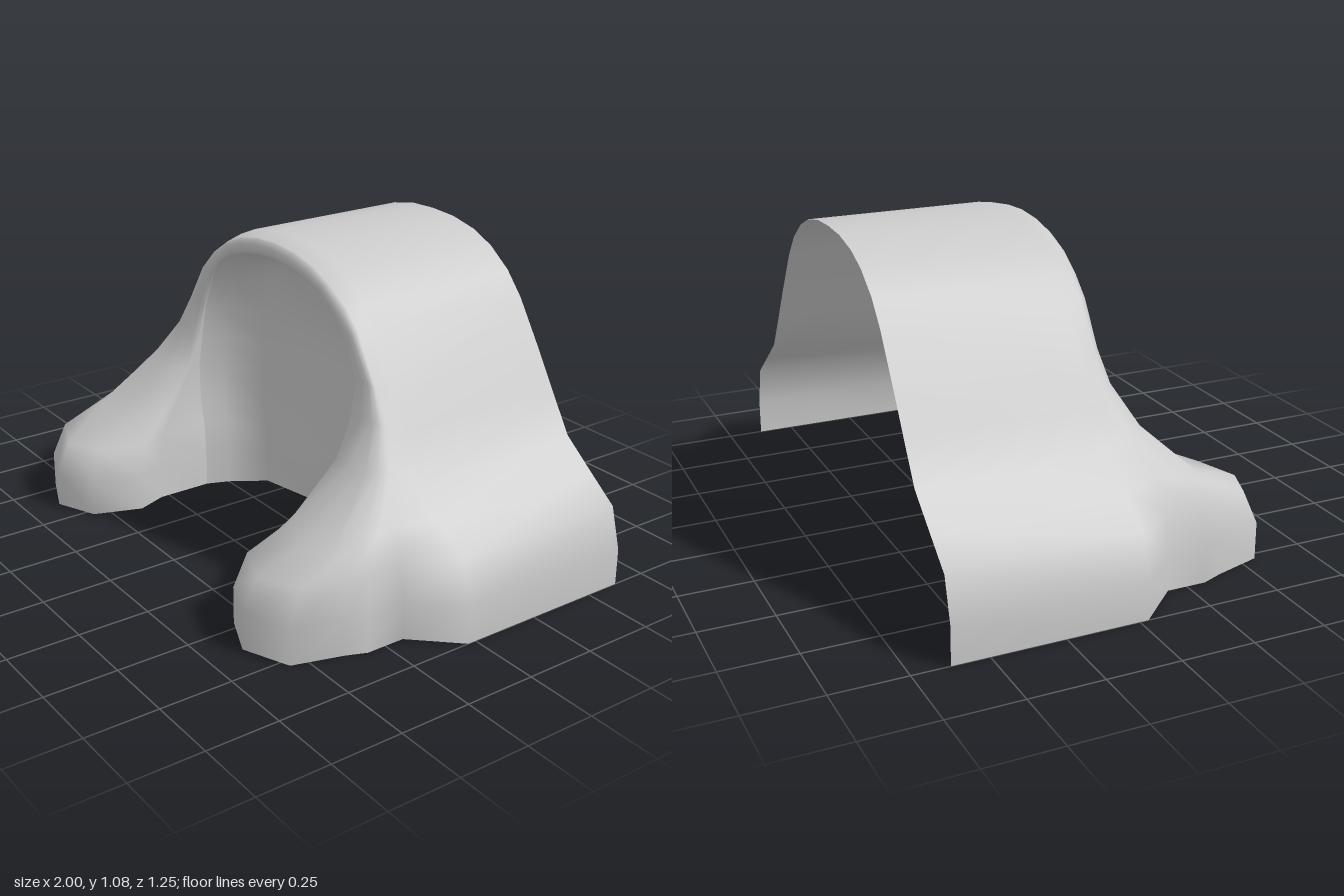
import * as THREE from 'three';
import { mergeVertices } from 'three/addons/utils/BufferGeometryUtils.js';

// Guide curves of one half, from the base up to the crown: x, y, z
const points = (a) => a.map((p) => new THREE.Vector3(...p));
const hoodEdge = points([
  [1, 0, 0.03], [1, 0.13, 0.03], [0.96, 0.275, 0.03], [0.85, 0.36, 0.03], [0.735, 0.45, 0.03],
  [0.65, 0.585, 0.02], [0.58, 0.7, 0.01], [0.47, 0.87, 0], [0.4, 0.95, 0], [0.31, 1.015, 0],
  [0.22, 1.053, 0], [0.11, 1.075, 0], [0, 1.08, 0],
]);
const legOuter = points([
  [0.86, 0, 0.18], [0.86, 0.13, 0.18], [0.835, 0.26, 0.18], [0.79, 0.36, 0.16], [0.69, 0.5, 0.11],
  [0.61, 0.62, 0.07], [0.55, 0.72, 0.06], [0.45, 0.88, 0.06], [0.385, 0.945, 0.06], [0.3, 1.0, 0.065],
  [0.21, 1.038, 0.065], [0.11, 1.06, 0.065], [0, 1.067, 0.065],
]);
const ridge = points([
  [0.62, 0, 0.625], [0.62, 0.13, 0.625], [0.62, 0.235, 0.57], [0.61, 0.29, 0.4], [0.575, 0.485, 0.19],
  [0.535, 0.625, 0.11], [0.505, 0.735, 0.085], [0.43, 0.865, 0.085], [0.36, 0.925, 0.085], [0.28, 0.98, 0.085],
  [0.2, 1.01, 0.085], [0.1, 1.03, 0.085], [0, 1.035, 0.085],
]);
const innerRim = points([
  [0.45, 0, 0.08], [0.45, 0.13, 0.08], [0.46, 0.25, 0.08], [0.48, 0.34, 0.08], [0.485, 0.48, 0.08],
  [0.475, 0.6, 0.07], [0.46, 0.72, 0.06], [0.4, 0.85, 0.06], [0.335, 0.92, 0.06], [0.26, 0.96, 0.06],
  [0.18, 0.985, 0.06], [0.09, 1.0, 0.06], [0, 1.005, 0.06],
]);

// Row between two guide curves, with its own blend for x and z
const blend = (a, b, tx, tz) => a.map((p, i) => {
  const q = b[i], mix = THREE.MathUtils.lerp;
  return new THREE.Vector3(mix(p.x, q.x, tx), mix(p.y, q.y, Math.min(1, (tx + tz) / 2)), mix(p.z, q.z, tz));
});

// Skin over rows of half-arch points, mirrored to the other side
function skin(name, rows, material) {
  const full = rows.map((r) => [
    ...r, ...r.slice(0, -1).reverse().map((p) => new THREE.Vector3(-p.x, p.y, p.z)),
  ]);
  const n = full[0].length, index = [];
  for (let j = 0; j < full.length - 1; j++) {
    for (let i = 0; i < n - 1; i++) {
      const a = j * n + i, b = a + 1, c = a + n, d = c + 1;
      // diagonals run symmetrically on both sides
      if (i < (n - 1) / 2) index.push(a, b, c, b, d, c);
      else index.push(a, b, d, a, d, c);
    }
  }
  let geometry = new THREE.BufferGeometry().setFromPoints(full.flat());
  geometry.setIndex(index);
  geometry = mergeVertices(geometry, 1e-4);
  geometry.computeVertexNormals();
  const mesh = new THREE.Mesh(geometry, material);
  mesh.name = name;
  return mesh;
}

export function createModel() {
  const group = new THREE.Group();
  group.name = 'archedHood';
  const material = new THREE.MeshStandardMaterial({ color: 0xcccccc, side: THREE.DoubleSide });

  // Hood open at the back, flowing into the two front legs and the rounded rim
  const backEdge = hoodEdge.map((p) => new THREE.Vector3(p.x, p.y, -0.625));
  group.add(skin('hoodWithLegs', [
    backEdge,
    hoodEdge,
    legOuter,
    blend(legOuter, ridge, 0, 0.31),
    blend(legOuter, ridge, 0.12, 0.47),
    blend(legOuter, ridge, 0.33, 0.85),
    ridge,
    blend(ridge, innerRim, 0.88, 0.12),
    blend(ridge, innerRim, 1.24, 0.43),
    blend(ridge, innerRim, 1, 0.63),
    innerRim,
  ], material));

  // Shallow recess behind the arch, closed by a bowed wall
  const inset = (sx, sy, z) => innerRim.map((p) => new THREE.Vector3(p.x * sx, p.y * sy, z));
  const wallCentre = inset(0, 0.93, -0.19);
  wallCentre.forEach((p) => { p.z += 0.09 * THREE.MathUtils.smoothstep(p.y, 0.65, 0.94); });
  group.add(skin('recessWall', [
    innerRim,
    inset(0.93, 0.98, 0),
    inset(0.75, 0.95, -0.125),
    wallCentre,
  ], material));

  return group;
}
